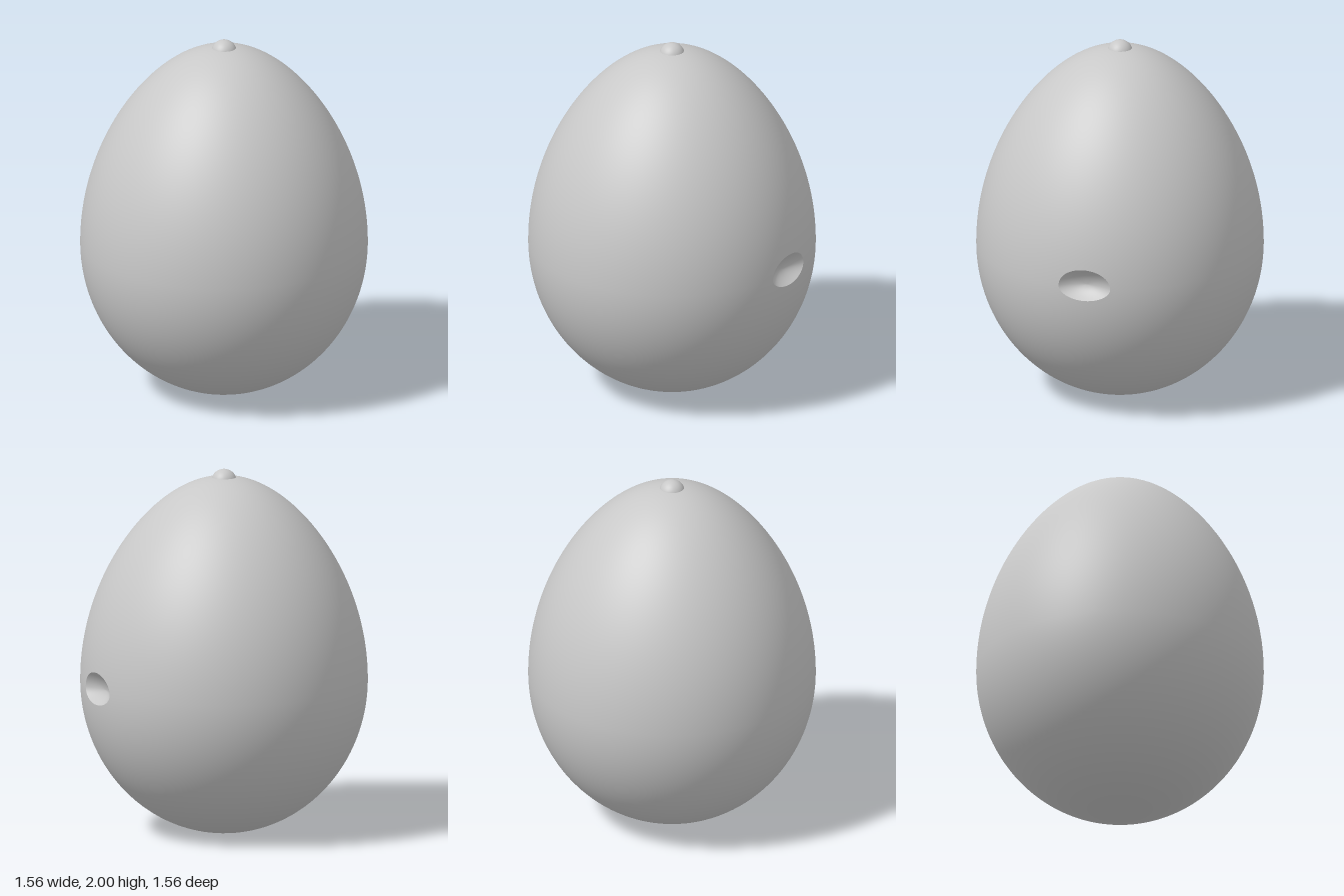
import * as THREE from 'three';
import { mergeVertices } from 'three/addons/utils/BufferGeometryUtils.js';

const RADIUS = 0.78, WAIST = 0.84, TOP = 1.96;
const HOLLOW_AXIS = new THREE.Vector3(Math.SQRT1_2, 0, -Math.SQRT1_2);
const UP = new THREE.Vector3(0, 1, 0);
const SIDE = new THREE.Vector3().crossVectors(UP, HOLLOW_AXIS);

// Maps a unit direction onto the egg: blunt below the waist, slimmer above it
function eggPoint(d) {
  const taper = d.y > 0 ? 1 - 0.11 * d.y * d.y : 1;
  const height = d.y > 0 ? TOP - WAIST : WAIST;
  return new THREE.Vector3(d.x * RADIUS * taper, WAIST + d.y * height, d.z * RADIUS * taper);
}

// Point on the egg at an angle from the hollow's axis, turned by phi around it
function polarPoint(angle, phi) {
  const d = HOLLOW_AXIS.clone().multiplyScalar(Math.cos(angle))
    .addScaledVector(SIDE, Math.sin(angle) * Math.cos(phi))
    .addScaledVector(UP, Math.sin(angle) * Math.sin(phi));
  return eggPoint(d);
}

// Oval rim of the hollow, as an angle from its axis
function rimAngle(phi) {
  const a = 0.187, b = 0.09;
  return a * b / Math.hypot(b * Math.cos(phi), a * Math.sin(phi));
}

// Smooth surface made of rings running outward from the hollow's axis
function ringSurface(rings, segments, pointAt) {
  const positions = [], index = [];
  for (let i = 0; i <= rings; i++) {
    for (let j = 0; j <= segments; j++) {
      const phi = (j % segments) / segments * Math.PI * 2;
      positions.push(...pointAt(i / rings, phi).toArray());
    }
  }
  for (let i = 0; i < rings; i++) {
    for (let j = 0; j < segments; j++) {
      const a = i * (segments + 1) + j, b = a + segments + 1;
      index.push(a, b, b + 1, a, b + 1, a + 1);
    }
  }
  let geometry = new THREE.BufferGeometry();
  geometry.setAttribute('position', new THREE.Float32BufferAttribute(positions, 3));
  geometry.setIndex(index);
  geometry = mergeVertices(geometry, 1e-5);
  geometry.computeVertexNormals();
  return geometry;
}

export function createModel() {
  const group = new THREE.Group();
  const grey = new THREE.MeshStandardMaterial({ color: 0xc8c8c8 });
  grey.name = 'plain grey';

  const add = (name, geometry) => {
    const mesh = new THREE.Mesh(geometry, grey);
    mesh.name = name;
    group.add(mesh);
    return mesh;
  };

  // Egg shell, open at the oval rim
  add('eggShell', ringSurface(96, 128, (t, phi) => {
    const rim = rimAngle(phi);
    return polarPoint(rim + (Math.PI - rim) * t, phi);
  }));

  // Bowl-shaped hollow sunk inside the rim
  const depth = 0.05;
  const centre = polarPoint(rimAngle(0), 0).add(polarPoint(rimAngle(Math.PI), Math.PI)).multiplyScalar(0.5);
  add('hollow', ringSurface(16, 128, (t, phi) =>
    centre.clone().lerp(polarPoint(rimAngle(phi), phi), t)
      .addScaledVector(HOLLOW_AXIS, -depth * (1 - t * t))));

  // Small round knob on the crown
  add('topKnob', new THREE.SphereGeometry(0.07, 40, 24)).position.y = 1.93;

  return group;
}
